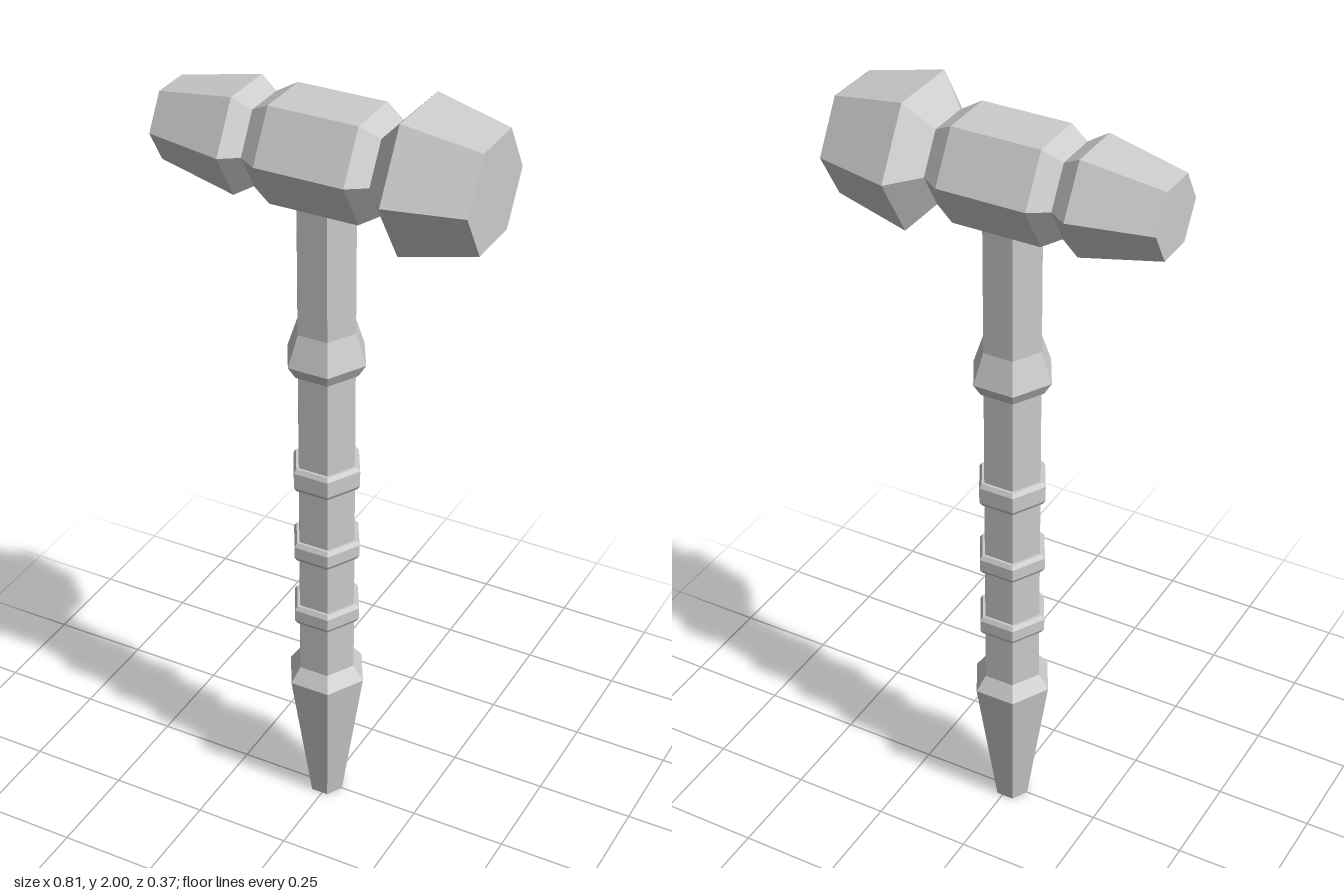
import * as THREE from 'three';

const material = new THREE.MeshStandardMaterial({ color: 0xcccccc, flatShading: true });

// Closed six-sided turned form; profile is [radius, height] from bottom to top
function hexTurned(name, profile, phiStart) {
  const first = profile[0], last = profile[profile.length - 1];
  const points = [[0, first[1]], ...profile, [0, last[1]]].map(([r, y]) => new THREE.Vector2(r, y));
  const mesh = new THREE.Mesh(new THREE.LatheGeometry(points, 6, phiStart), material);
  mesh.name = name;
  return mesh;
}

export function createModel() {
  const model = new THREE.Group();
  model.name = 'hammer';

  // Handle: tapered pommel, ringed grip and flared upper collar
  const shaftRadius = 0.077;
  const handleProfile = [
    [0.045, 0], [0.104, 0.386], [shaftRadius, 0.425],
  ];
  // Bevelled rings: bottom and top heights
  for (const [bottom, top] of [[0.569, 0.622], [0.762, 0.815], [0.968, 1.032]]) {
    handleProfile.push(
      [shaftRadius, bottom], [0.084, bottom], [0.091, bottom + 0.011],
      [0.091, top - 0.011], [0.084, top], [shaftRadius, top],
    );
  }
  handleProfile.push(
    [shaftRadius, 1.285], [0.084, 1.287], [0.104, 1.32], [shaftRadius, 1.4], [shaftRadius, 1.76],
  );
  const handle = hexTurned('handle', handleProfile, Math.PI / 2);
  handle.position.x = -0.007;
  handle.scale.z = 1.04;
  model.add(handle);

  // Head: narrow peen, waisted middle and wide striking face, laid along x
  const head = hexTurned('head', [
    [0.0985, -0.405], [0.14, -0.207], [0.11, -0.162], [0.14, -0.115],
    [0.14, 0.108], [0.109, 0.155], [0.186, 0.217], [0.143, 0.403],
  ], 0);
  head.geometry.rotateZ(-Math.PI / 2);
  head.scale.y = 0.985;
  head.position.y = 1.841;
  model.add(head);

  return model;
}
